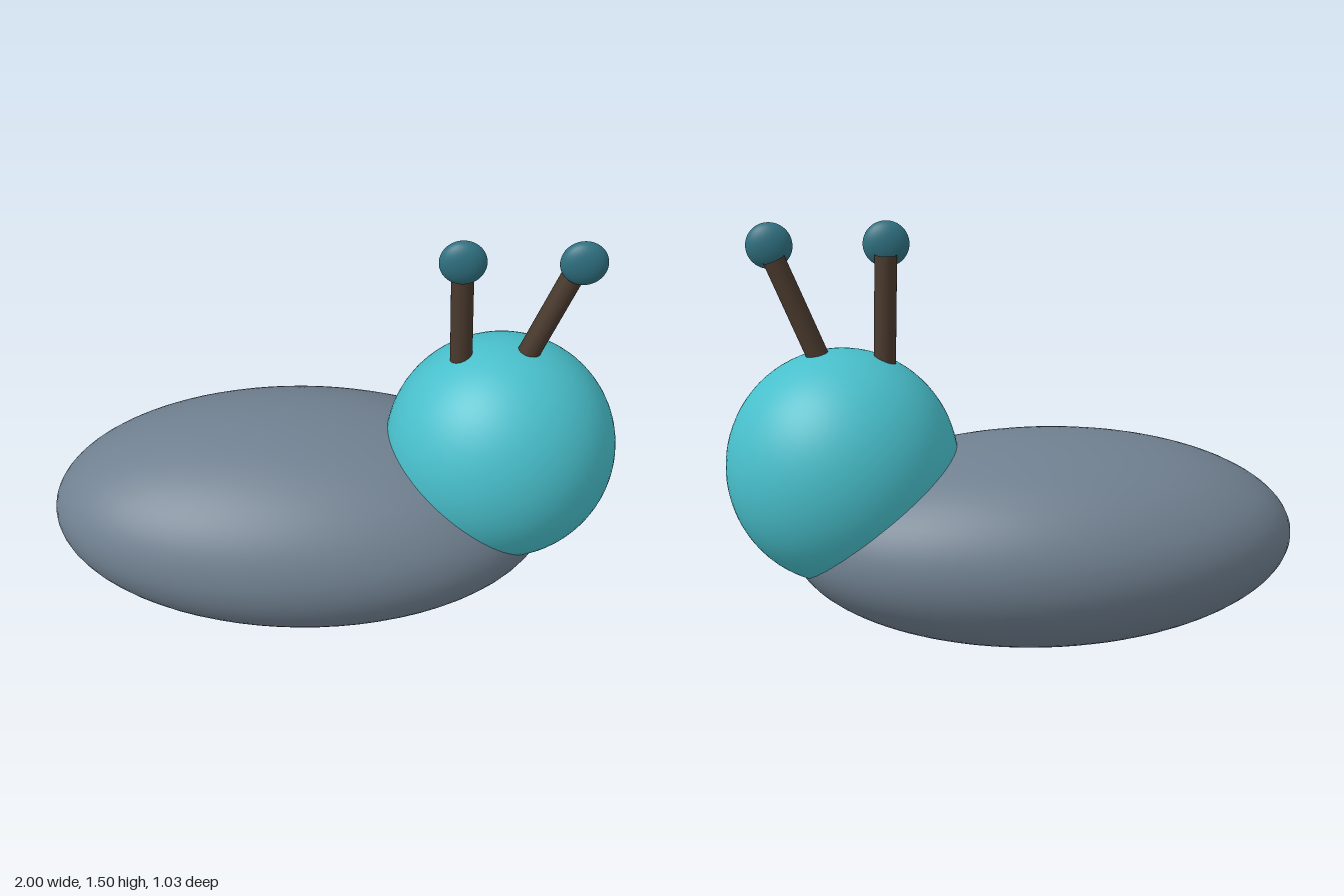
import * as THREE from 'three';

const material = (color, side = THREE.FrontSide) => new THREE.MeshStandardMaterial({ color, side });

// Smooth ellipsoid from centre and radii
function ellipsoid(name, center, radii, mat) {
  const geometry = new THREE.SphereGeometry(1, 64, 40);
  geometry.scale(...radii);
  const mesh = new THREE.Mesh(geometry, mat);
  mesh.name = name;
  mesh.position.set(...center);
  return mesh;
}

// Open tube running from one point to another
function stalk(from, to, radius, mat) {
  const a = new THREE.Vector3(...from);
  const b = new THREE.Vector3(...to);
  const geometry = new THREE.CylinderGeometry(radius, radius, a.distanceTo(b), 32, 1, true);
  const mesh = new THREE.Mesh(geometry, mat);
  mesh.name = 'stalk';
  mesh.position.copy(a).lerp(b, 0.5);
  mesh.quaternion.setFromUnitVectors(new THREE.Vector3(0, 1, 0), b.sub(a).normalize());
  return mesh;
}

export function createModel() {
  const model = new THREE.Group();
  model.name = 'slug';

  // Long flattened body with the head sunk into its +x end
  model.add(ellipsoid('body', [-0.11, 0.377, 0], [0.89, 0.372, 0.516], material(0x708090)));
  model.add(ellipsoid('head', [0.592, 0.655, 0], [0.404, 0.415, 0.372], material(0x48bfcb)));

  // Two antennae, each a stalk with a flattened knob set towards the front
  const brown = material(0x4a3a2e, THREE.DoubleSide);
  const teal = material(0x2f7080);
  const antennae = [
    { name: 'rearAntenna', base: [0.44, 0.98, 0], tip: [0.427, 1.4, 0], knob: [0.425, 1.43, 0.035] },
    { name: 'frontAntenna', base: [0.645, 1.0, 0], tip: [0.802, 1.39, 0], knob: [0.818, 1.43, 0.035] },
  ];
  for (const { name, base, tip, knob } of antennae) {
    const antenna = new THREE.Group();
    antenna.name = name;
    antenna.add(stalk(base, tip, 0.038, brown));
    antenna.add(ellipsoid('knob', knob, [0.079, 0.079, 0.043], teal));
    model.add(antenna);
  }
  return model;
}
